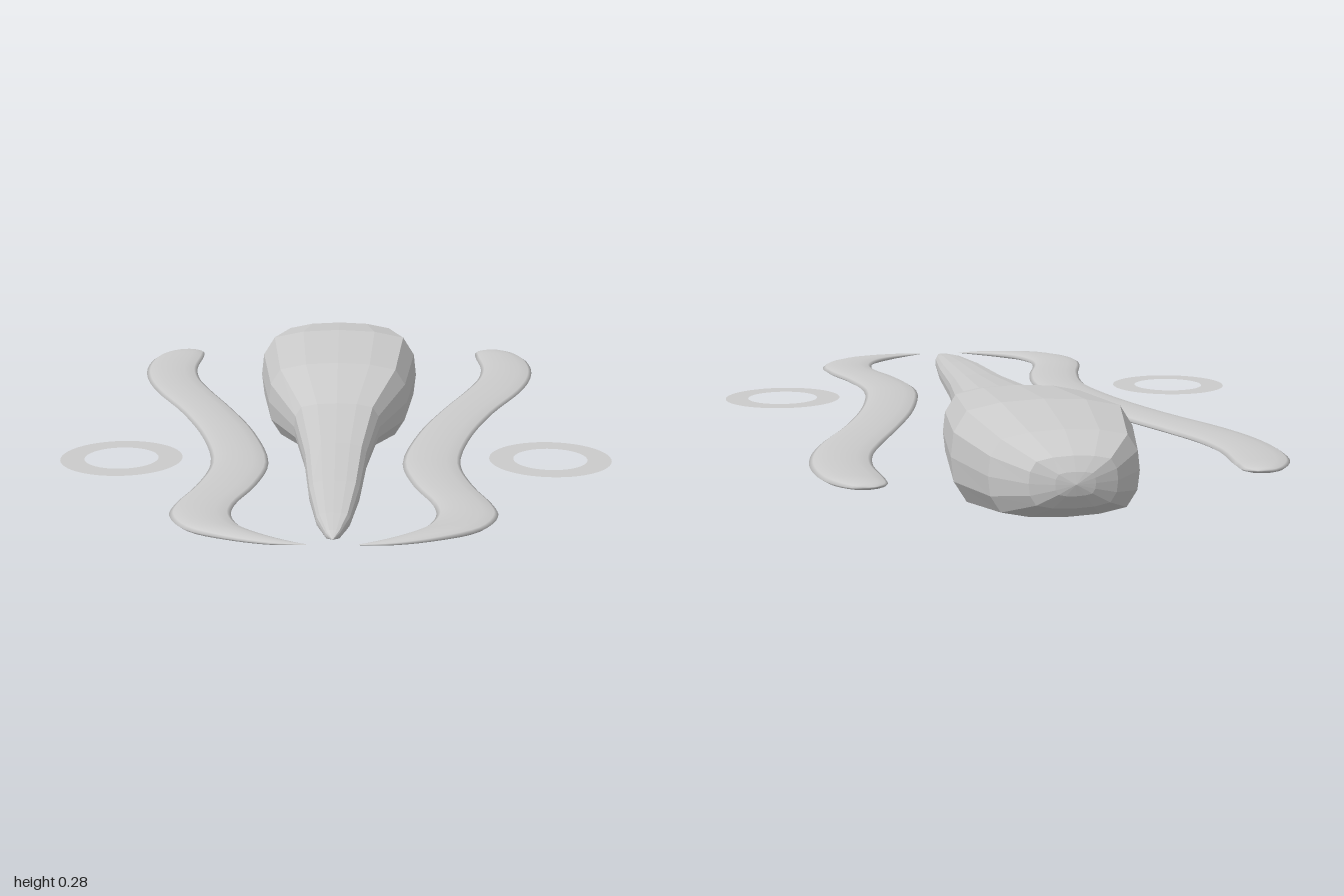
import * as THREE from 'three';

const MID = 0.147; // height of the common middle plane

// Skin a list of closed rings (each an array of Vector3, same length)
function loft(rings) {
  const n = rings[0].length, index = [];
  for (let i = 0; i < rings.length - 1; i++) {
    for (let j = 0; j < n; j++) {
      const a = i * n + j, b = i * n + (j + 1) % n;
      index.push(a, b, b + n, a, b + n, a + n);
    }
  }
  const geo = new THREE.BufferGeometry().setFromPoints(rings.flat());
  geo.setIndex(index);
  geo.computeVertexNormals();
  return geo;
}

// Faceted club body: boxy rounded section scaled along z
function makeBody() {
  const quarter = [[1, 0], [0.97, 0.45], [0.83, 0.83], [0.46, 0.96]];
  const section = [
    ...quarter, [0, 1],
    ...quarter.slice(1).reverse().map(([x, y]) => [-x, y]),
    ...quarter.map(([x, y]) => [-x, -y]), [0, -1],
    ...quarter.slice(1).reverse().map(([x, y]) => [x, -y]),
  ];
  // z, half width, half height
  const stations = [
    [-1, 0, 0], [-0.992, 0.05, 0.03], [-0.97, 0.11, 0.065], [-0.87, 0.19, 0.11],
    [-0.63, 0.24, 0.142], [-0.3, 0.205, 0.12], [-0.03, 0.122, 0.07],
    [0.3, 0.085, 0.049], [0.6, 0.066, 0.037], [0.82, 0.042, 0.023],
    [0.92, 0.019, 0.012], [0.96, 0, 0],
  ];
  const rings = stations.map(([z, w, h]) =>
    section.map(([x, y]) => new THREE.Vector3(x * w, MID + y * h, z)));
  return loft(rings).toNonIndexed();
}

// Thin wavy strip with a lens section, between an outer and an inner edge
function makeStrip(side) {
  // outer x, z, inner x, z
  const pairs = [
    [0.49, -0.938, 0.47, -0.937], [0.53, -0.93, 0.443, -0.915],
    [0.583, -0.85, 0.437, -0.86], [0.603, -0.72, 0.446, -0.7],
    [0.592, -0.58, 0.43, -0.57], [0.55, -0.42, 0.39, -0.44],
    [0.45, -0.17, 0.31, -0.22], [0.37, 0.1, 0.232, 0.03],
    [0.335, 0.34, 0.18, 0.33], [0.36, 0.53, 0.205, 0.53],
    [0.402, 0.69, 0.25, 0.69], [0.408, 0.78, 0.254, 0.78],
    [0.365, 0.88, 0.222, 0.87], [0.26, 0.95, 0.16, 0.935],
    [0.15, 0.99, 0.1, 0.975], [0.065, 0.998, 0.063, 0.993],
  ];
  const edge = (k) => new THREE.CatmullRomCurve3(
    pairs.map((p) => new THREE.Vector3(side * p[k], MID, p[k + 1])));
  const [plus, minus] = side > 0 ? [edge(0), edge(2)] : [edge(2), edge(0)];
  const rings = [], steps = 60, around = 12;
  for (let i = 0; i <= steps; i++) {
    const a = plus.getPoint(i / steps), b = minus.getPoint(i / steps);
    const thick = Math.min(0.013, a.distanceTo(b) * 0.1);
    const ring = [];
    for (let j = 0; j < around; j++) {
      const t = (j / around) * Math.PI * 2;
      const p = new THREE.Vector3().lerpVectors(b, a, 0.5 + 0.5 * Math.cos(t));
      p.y += thick * Math.sin(t);
      ring.push(p);
    }
    rings.push(ring);
  }
  // Close both tips to a point
  for (const ring of [rings[0], rings[steps]]) {
    const c = ring[0].clone().add(ring[around / 2]).multiplyScalar(0.5);
    const cap = ring.map(() => c.clone());
    if (ring === rings[0]) rings.unshift(cap);
    else rings.push(cap);
  }
  return loft(rings);
}

export function createModel() {
  const group = new THREE.Group();
  const add = (name, geo, options = {}) => {
    const mesh = new THREE.Mesh(geo, new THREE.MeshStandardMaterial({ color: 0xcccccc, ...options }));
    mesh.name = name;
    group.add(mesh);
    return mesh;
  };

  add('body', makeBody(), { flatShading: true });

  for (const [label, side] of [['left', 1], ['right', -1]]) {
    add(label + 'WavyStrip', makeStrip(side), { side: THREE.DoubleSide });

    // Flat ring beside each strip
    const ring = new THREE.RingGeometry(0.1, 0.165, 48).rotateX(-Math.PI / 2);
    add(label + 'Ring', ring, { side: THREE.DoubleSide })
      .position.set(side * 0.58, MID, 0.283);
  }
  return group;
}
